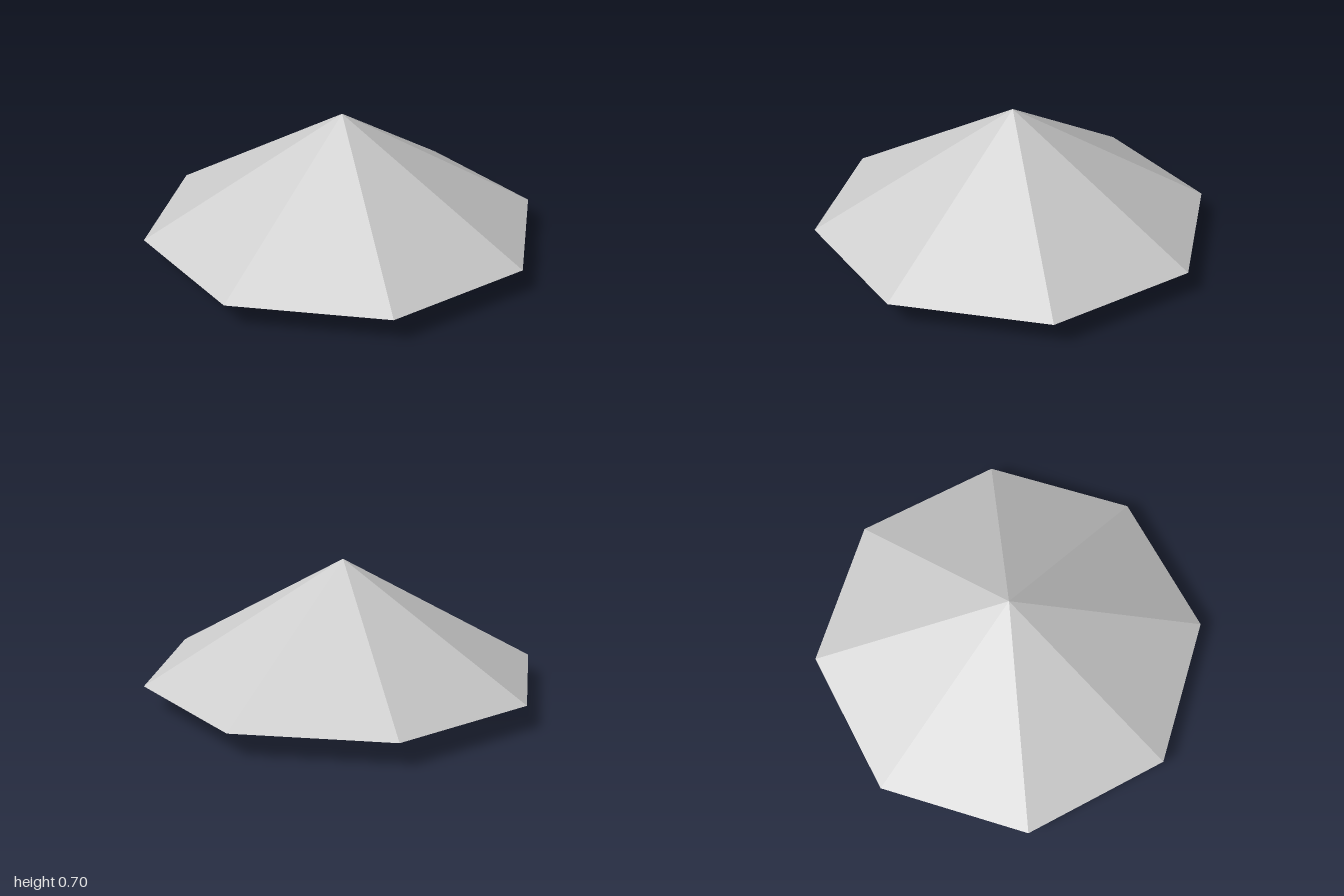
import * as THREE from 'three';

const SIDES = 8;

// Low-poly part turned around the vertical axis from [radius, height] pairs
function turned(name, profile) {
  const points = profile.map(([r, y]) => new THREE.Vector2(r, y));
  const material = new THREE.MeshStandardMaterial({ color: 0xcccccc, flatShading: true });
  const mesh = new THREE.Mesh(new THREE.LatheGeometry(points, SIDES), material);
  mesh.name = name;
  return mesh;
}

export function createModel() {
  const group = new THREE.Group();
  group.name = 'hangingLamp';

  // Shade: flat inner ceiling, sloping inner wall, sharp rim, outer cone
  const ceiling = 0.365;
  group.add(turned('shade', [[0, ceiling], [0.336, ceiling], [1, 0.125], [0, 0.703]]));

  // Bulb: sphere from the bottom pole up to 45 degrees above its equator
  const radius = 0.172;
  const bulb = [];
  for (let i = 0; i <= 6; i++) {
    const a = (i * Math.PI) / 8;
    bulb.push([radius * Math.sin(a), radius * (1 - Math.cos(a))]);
  }
  group.add(turned('bulb', bulb));

  // Neck: straight socket between the bulb and the ceiling
  const [neckRadius, neckBase] = bulb[6];
  group.add(turned('neck', [[neckRadius, neckBase], [neckRadius, ceiling]]));

  return group;
}
